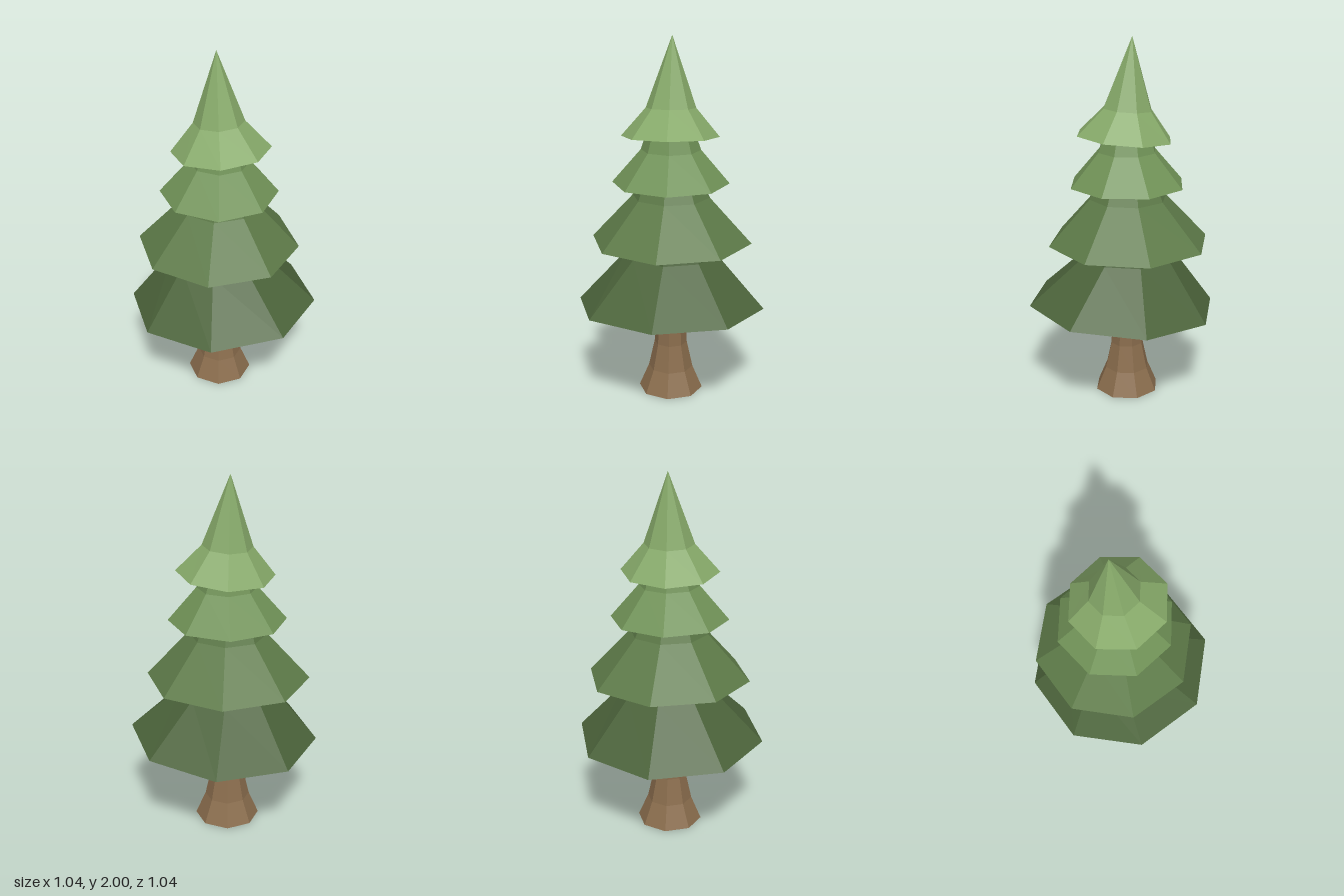
import * as THREE from 'three';

const SIDES = 8;

// Octagonal loft. Each ring is [radius, y, centreX, centreZ, tilt];
// tilt raises the ring towards +x and +z.
function loft(name, color, rings, turn = 0) {
  const points = rings.map(([r, y]) => new THREE.Vector2(r, y));
  const geometry = new THREE.LatheGeometry(points, SIDES, -THREE.MathUtils.degToRad(turn));
  const pos = geometry.attributes.position;
  for (let i = 0; i < pos.count; i++) {
    const [, y, cx, cz, tilt = 0] = rings[i % rings.length];
    const x = pos.getX(i) + cx;
    const z = pos.getZ(i) + cz;
    pos.setXYZ(i, x, y + tilt * (x + z), z);
  }
  geometry.computeVertexNormals();
  const material = new THREE.MeshStandardMaterial({ color, flatShading: true });
  const mesh = new THREE.Mesh(geometry, material);
  mesh.name = name;
  return mesh;
}

export function createModel() {
  const tree = new THREE.Group();
  tree.name = 'pineTree';

  // Flared trunk with a closed foot
  tree.add(loft('trunk', 0x8a6d4d, [
    [0, 0, -0.02, -0.02],
    [0.18, 0, -0.02, -0.02],
    [0.125, 0.13, -0.02, -0.02],
    [0.092, 0.28, -0.02, -0.02],
    [0.082, 0.54, -0.02, -0.02],
  ], 2));

  // Foliage tiers, bottom to top: closed underside, wide rim, narrow neck
  const tiers = [
    { name: 'lowestBranches', color: 0x4c643b, turn: 6.7, rim: [0.523, 0.521, 0, 0, 0.04],
      neck: [[0.255, 0.81, -0.023, -0.03], [0.225, 0.905, -0.023, -0.025]] },
    { name: 'lowerBranches', color: 0x5d7a48, turn: 6.5, rim: [0.446, 0.885, -0.024, -0.028],
      neck: [[0.214, 1.135, -0.022, -0.025], [0.175, 1.225, -0.025, -0.025]] },
    { name: 'upperBranches', color: 0x709257, turn: 0, rim: [0.32, 1.212, -0.02, -0.02],
      neck: [[0.163, 1.395, -0.018, -0.02], [0.13, 1.49, -0.02, -0.02]] },
    { name: 'treeTop', color: 0x86a969, turn: 0, rim: [0.265, 1.471, -0.01, -0.008, 0.06],
      neck: [[0.135, 1.623, -0.02, -0.022, 0.05], [0, 2, -0.033, -0.042]] },
  ];
  for (const { name, color, turn, rim, neck } of tiers) {
    const underside = [0, ...rim.slice(1)];
    tree.add(loft(name, color, [underside, rim, ...neck], turn));
  }
  return tree;
}
